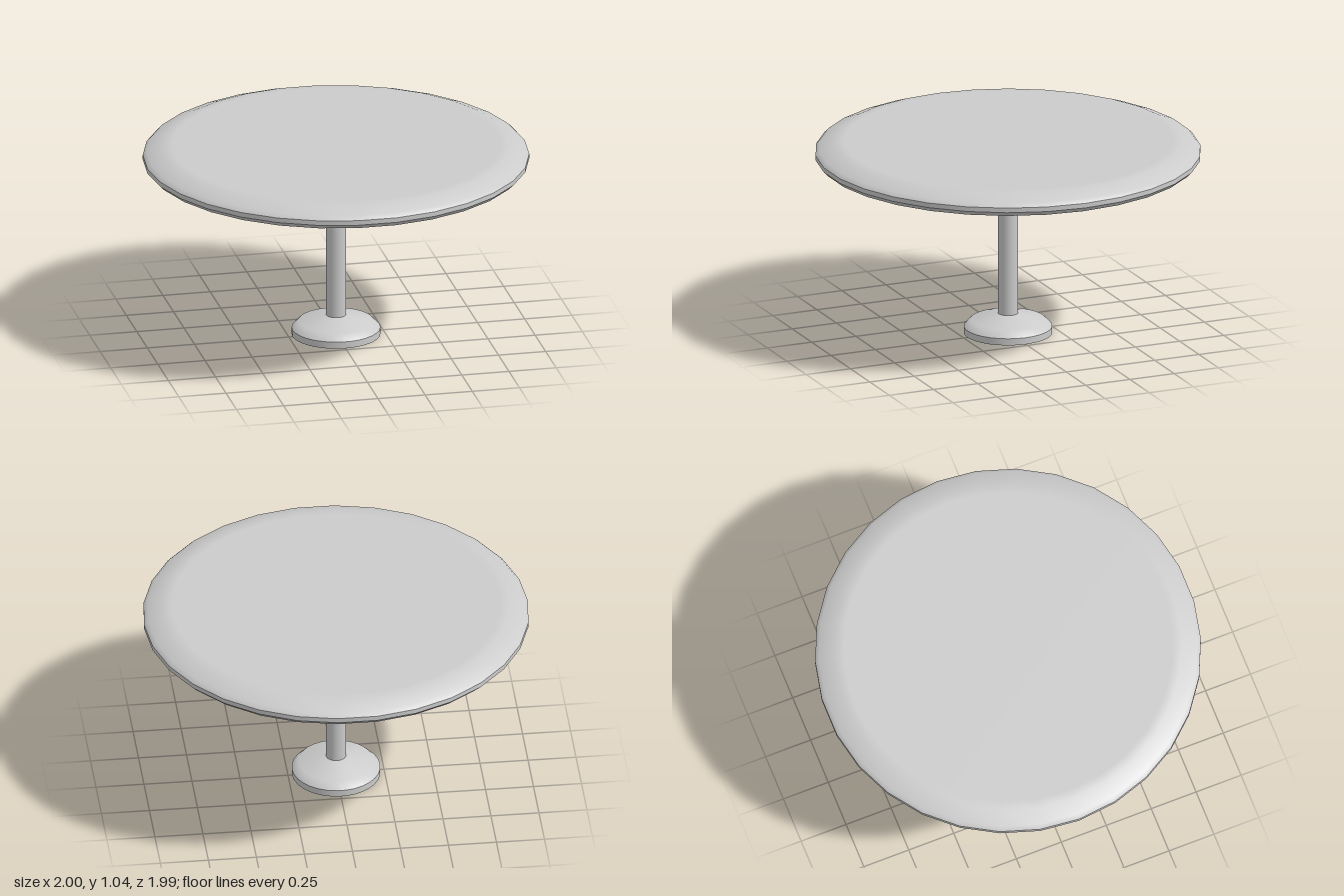
import * as THREE from 'three';

const SIDES = 30;
const material = new THREE.MeshStandardMaterial({ color: 0xcccccc });

// Turned part made of bands: smooth inside a band, a sharp edge between bands.
// Each band is a list of [radius, height], running from bottom to top.
function turned(name, bands) {
  const group = new THREE.Group();
  group.name = name;
  bands.forEach((band, i) => {
    const points = band.map(([r, y]) => new THREE.Vector2(r, y));
    const mesh = new THREE.Mesh(new THREE.LatheGeometry(points, SIDES, Math.PI / 2), material);
    mesh.name = `${name}Band${i + 1}`;
    group.add(mesh);
  });
  return group;
}

export function createModel() {
  const table = new THREE.Group();
  table.name = 'pedestalTable';

  // Round top: flat underside, chamfer, upright rim and softly rounded upper edge
  table.add(turned('tableTop', [
    [[0, 0.937], [0.975, 0.937]],
    [[0.975, 0.937], [1, 0.962]],
    [[1, 0.962], [1, 0.987]],
    [[1, 0.987], [0.98, 1.008], [0.9, 1.038], [0.85, 1.04], [0, 1.04]],
  ]));

  // Central column
  table.add(turned('column', [[[0.052, 0.1], [0.052, 0.937]]]));

  // Foot: flat bottom, upright rim and domed upper side
  table.add(turned('foot', [
    [[0, 0], [0.23, 0]],
    [[0.23, 0], [0.23, 0.036]],
    [[0.23, 0.036], [0.195, 0.072], [0.05, 0.106]],
  ]));

  return table;
}
